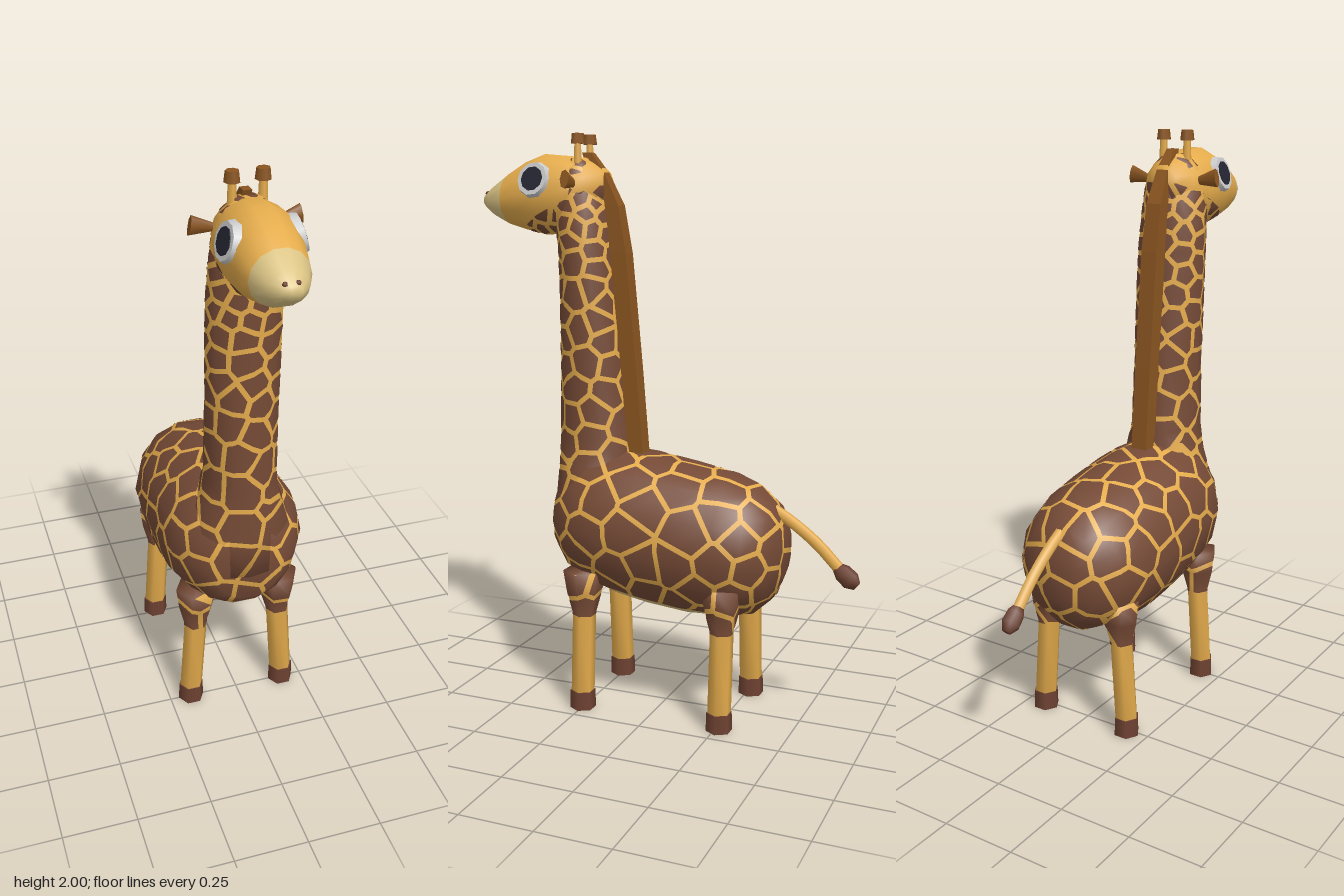
import * as THREE from 'three';

const V = (x, y, z) => new THREE.Vector3(x, y, z);
const mat = (color) => new THREE.MeshStandardMaterial({ color });
const COAT = mat(0xe5ac4c), SPOT = mat(0x754a36), CREAM = mat(0xd9c283), MANE = mat(0x8a5520);
const HOOF = mat(0x6e4232), WHITE = mat(0xeeeeee), PUPIL = mat(0x262633);

let state = 7;
const rand = () => (state = (state * 16807) % 2147483647) / 2147483647;

// Skins a list of elliptical rings { c: centre, u, v: half axes, u x v along the loft }, with flat caps
function loft(rings, sides, phase = 0) {
  const pos = [], idx = [];
  for (const { c, u, v } of rings) {
    for (let k = 0; k < sides; k++) {
      const a = phase + (k / sides) * Math.PI * 2;
      pos.push(...c.clone().addScaledVector(u, Math.cos(a)).addScaledVector(v, Math.sin(a)).toArray());
    }
  }
  const last = rings.length - 1, c0 = pos.length / 3;
  pos.push(...rings[0].c.toArray(), ...rings[last].c.toArray());
  for (let k = 0; k < sides; k++) {
    const n = (k + 1) % sides;
    for (let i = 0; i < last; i++) {
      const a = i * sides + k, b = i * sides + n;
      idx.push(a, b, a + sides, b, b + sides, a + sides);
    }
    idx.push(c0, n, k, c0 + 1, last * sides + k, last * sides + n);
  }
  const g = new THREE.BufferGeometry();
  g.setAttribute('position', new THREE.Float32BufferAttribute(pos, 3));
  g.setIndex(idx);
  g.computeVertexNormals();
  return g;
}
// Ring across z from half width, bottom and top
const ringZ = ([z, w, lo, hi]) => ({ c: V(0, (lo + hi) / 2, z), u: V(w, 0, 0), v: V(0, (hi - lo) / 2, 0) });
// Ring across y from half width, back and front
const ringY = ([y, w, back, front, x = 0]) => ({ c: V(x, y, (back + front) / 2), u: V(0, 0, (front - back) / 2), v: V(w, 0, 0) });

// Triangles of a geometry as arrays of { p, n }
function triangles(geometry) {
  const g = geometry.toNonIndexed(), P = g.attributes.position, N = g.attributes.normal, out = [];
  for (let i = 0; i < P.count; i += 3) {
    out.push([0, 1, 2].map((k) => ({
      p: new THREE.Vector3().fromBufferAttribute(P, i + k),
      n: new THREE.Vector3().fromBufferAttribute(N, i + k),
    })));
  }
  return out;
}
// Keeps the part of a polygon where f(p) >= 0
function clip(poly, f) {
  const out = [];
  poly.forEach((a, i) => {
    const b = poly[(i + 1) % poly.length], fa = f(a.p), fb = f(b.p);
    if (fa >= 0) out.push(a);
    if (fa >= 0 !== fb >= 0) {
      const t = fa / (fa - fb);
      out.push({ p: a.p.clone().lerp(b.p, t), n: a.n.clone().lerp(b.n, t) });
    }
  });
  return out;
}
function polyMesh(name, polys, material, lift = 0) {
  const pos = [], nor = [];
  for (const poly of polys) {
    for (let i = 1; i < poly.length - 1; i++) {
      for (const { p, n } of [poly[0], poly[i], poly[i + 1]]) {
        pos.push(p.x + n.x * lift, p.y + n.y * lift, p.z + n.z * lift);
        nor.push(n.x, n.y, n.z);
      }
    }
  }
  const g = new THREE.BufferGeometry();
  g.setAttribute('position', new THREE.Float32BufferAttribute(pos, 3));
  g.setAttribute('normal', new THREE.Float32BufferAttribute(nor, 3));
  return mesh(name, g, material);
}
function mesh(name, geometry, material, p = [0, 0, 0]) {
  const m = new THREE.Mesh(geometry, material);
  m.name = name;
  m.position.set(...p);
  return m;
}

// Scatters patch centres over the skin, closer together towards the head
const spacing = (y) => THREE.MathUtils.clamp(0.1 - (y - 0.8) * 0.055, 0.045, 0.1);
function scatter(tris, seeds, allowed) {
  for (let i = 0; i < 6000; i++) {
    const [a, b, c] = tris[Math.floor(rand() * tris.length)];
    const s = Math.sqrt(rand()), t = rand();
    const p = a.p.clone().multiplyScalar(1 - s).addScaledVector(b.p, s * (1 - t)).addScaledVector(c.p, s * t);
    if (allowed(p) && seeds.every((q) => q.distanceTo(p) > spacing(p.y))) seeds.push(p);
  }
}
// Cuts the skin into patches: each is the cell around one centre, shrunk by half the gap
function patches(tris, seeds, limit) {
  const out = [];
  for (const tri of tris) {
    const mid = tri[0].p.clone().add(tri[1].p).add(tri[2].p).divideScalar(3);
    const reach = Math.max(...tri.map((v) => v.p.distanceTo(mid))) + 0.16;
    const base = clip(tri, limit);
    if (base.length < 3) continue;
    for (const s of seeds) {
      if (s.distanceTo(mid) > reach) continue;
      let poly = base;
      for (const t of seeds) {
        if (t === s || t.distanceTo(s) > 0.3) continue;
        const dir = s.clone().sub(t).normalize();
        const d = dir.dot(s.clone().add(t).multiplyScalar(0.5)) + 0.0085;
        poly = clip(poly, (p) => dir.dot(p) - d);
        if (poly.length < 3) break;
      }
      if (poly.length > 2) out.push(poly);
    }
  }
  return out;
}

export function createModel() {
  const root = new THREE.Group();
  root.name = 'giraffe';

  const body = loft([
    [-0.435, 0.08, 0.52, 0.7], [-0.4, 0.155, 0.435, 0.77], [-0.34, 0.205, 0.38, 0.82], [-0.25, 0.237, 0.36, 0.855],
    [-0.1, 0.248, 0.355, 0.885], [0.05, 0.248, 0.37, 0.91], [0.16, 0.245, 0.39, 0.92], [0.25, 0.23, 0.42, 0.91],
    [0.33, 0.185, 0.46, 0.87], [0.385, 0.12, 0.52, 0.8],
  ].map(ringZ), 14);
  const neck = loft([
    [0.62, 0.16, 0.14, 0.4], [0.76, 0.18, 0.12, 0.4], [0.87, 0.14, 0.11, 0.398], [0.96, 0.122, 0.13, 0.395], [1.2, 0.12, 0.15, 0.39],
    [1.45, 0.124, 0.175, 0.387], [1.6, 0.124, 0.19, 0.39], [1.7, 0.12, 0.2, 0.4], [1.8, 0.11, 0.215, 0.4],
    [1.88, 0.085, 0.245, 0.38], [1.92, 0.04, 0.28, 0.35],
  ].map(ringY), 12);
  const head = loft([
    [0.22, 0.06, 1.76, 1.88], [0.27, 0.1, 1.7, 1.91], [0.35, 0.12, 1.66, 1.93], [0.44, 0.119, 1.657, 1.938],
    [0.52, 0.108, 1.675, 1.91], [0.59, 0.093, 1.695, 1.87], [0.65, 0.065, 1.725, 1.83], [0.688, 0.03, 1.755, 1.8],
  ].map(ringZ), 14);

  // Left legs, then mirrored right legs
  const legs = [];
  for (const side of [1, -1]) {
    for (const [name, z] of [['front', 0.25], ['hind', -0.265]]) {
      const rings = [[0.06, 0.172, 0.041], [0.35, 0.152, 0.041], [0.42, 0.15, 0.06], [0.5, 0.145, 0.075]]
        .map(([y, x, r]) => ringY([y, r, z - r, z + r, x * side]));
      legs.push([name + 'Leg', loft(rings, 6, Math.PI / 2)]);
      const hoof = new THREE.CylinderGeometry(0.044, 0.046, 0.065, 6).rotateY(Math.PI / 6);
      root.add(mesh(name + 'Hoof', hoof.rotateY(Math.PI / 3), HOOF, [0.173 * side, 0.0325, z]));
    }
  }

  // Coat regions: pale belly and muzzle, patches elsewhere
  const belly = (p) => p.y - (0.41 + 0.18 * p.z);
  const muzzle = (p) => 0.588 - p.z;
  const cheek = (p) => 1.79 - 0.45 * (p.z - 0.3) - p.y;
  const all = () => 1;
  const skins = [
    ['body', body, belly, (p) => belly(p) - 0.012],
    ['neck', neck, all, all],
    ['head', head, muzzle, (p) => Math.min(cheek(p), 0.5 - p.z)],
    ...legs.map(([name, g]) => [name, g, all, (p) => p.y - 0.34]),
  ].map(([name, g, coat, spot]) => ({ name, tris: triangles(g), coat, spot }));
  const seeds = [];
  for (const s of skins) scatter(s.tris, seeds, (p) => s.spot(p) > 0 && (s.name !== 'neck' || p.y > 0.86));
  for (const { name, tris, coat, spot } of skins) {
    root.add(polyMesh(name, tris.map((t) => clip(t, coat)), COAT));
    if (coat !== all) {
      root.add(polyMesh(name === 'head' ? 'muzzle' : 'belly', tris.map((t) => clip(t, (p) => -coat(p))), CREAM));
    }
    root.add(polyMesh(name + 'Patches', patches(tris, seeds, spot), SPOT, 0.0015));
  }

  // Mane, a square strip down the back of the neck
  const mane = loft([
    [0.89, 0.03, 0.075, 0.17], [1.2, 0.03, 0.1, 0.18], [1.6, 0.03, 0.137, 0.2], [1.76, 0.028, 0.165, 0.225],
    [1.87, 0.022, 0.22, 0.28], [1.937, 0.014, 0.27, 0.305],
  ].map(([y, w, b, f]) => {
    const m = (b + f) / 2, h = (f - b) * Math.SQRT1_2;
    return ringY([y, w * Math.SQRT2, m - h, m + h]);
  }), 4, Math.PI / 4).toNonIndexed();
  mane.computeVertexNormals();
  root.add(mesh('mane', mane, MANE));

  // Eyes, ears, horns and nostrils on both sides
  for (const s of [1, -1]) {
    const eye = new THREE.Group();
    eye.name = 'eye';
    eye.add(mesh('eyeWhite', new THREE.CylinderGeometry(0.058, 0.067, 0.03, 10), WHITE));
    eye.add(mesh('pupil', new THREE.CylinderGeometry(0.042, 0.046, 0.036, 10), PUPIL));
    eye.position.set(0.102 * s, 1.845, 0.445);
    eye.quaternion.setFromUnitVectors(V(0, 1, 0), V(s, 0.3, 0.1).normalize());
    root.add(eye);

    const ear = mesh('ear', new THREE.CylinderGeometry(0.032, 0.014, 0.07, 7), MANE, [0.137 * s, 1.839, 0.295]);
    ear.scale.z = 0.5;
    ear.rotation.z = -s * 1.4;
    root.add(ear);

    root.add(mesh('horn', new THREE.CylinderGeometry(0.012, 0.016, 0.1, 6), COAT, [0.047 * s, 1.93, 0.305]));
    root.add(mesh('hornKnob', new THREE.CylinderGeometry(0.021, 0.025, 0.034, 7), MANE, [0.047 * s, 1.983, 0.305]));
    root.add(mesh('nostril', new THREE.SphereGeometry(0.009, 6, 4), HOOF, [0.019 * s, 1.802, 0.676]));
  }

  // Tail with a dark tuft
  const tail = new THREE.CatmullRomCurve3([V(0, 0.76, -0.37), V(0, 0.715, -0.45), V(0, 0.645, -0.545), V(0, 0.565, -0.625)]);
  root.add(mesh('tail', new THREE.TubeGeometry(tail, 8, 0.02, 6), COAT));
  const dir = V(0, -0.65, -0.76), up = V(0, 0.76, -0.65);
  const tuft = [[0, 0.018], [0.025, 0.031], [0.065, 0.033], [0.092, 0.016]].map(([t, r]) => ({
    c: V(0, 0.57, -0.617).addScaledVector(dir, t), u: up.clone().multiplyScalar(r), v: V(r, 0, 0),
  }));
  root.add(mesh('tailTuft', loft(tuft.map((k) => ({ ...k, u: k.v, v: k.u.clone().multiplyScalar(
    Math.sign(k.v.clone().cross(k.u).dot(dir))) })), 6), HOOF));
  return root;
}
